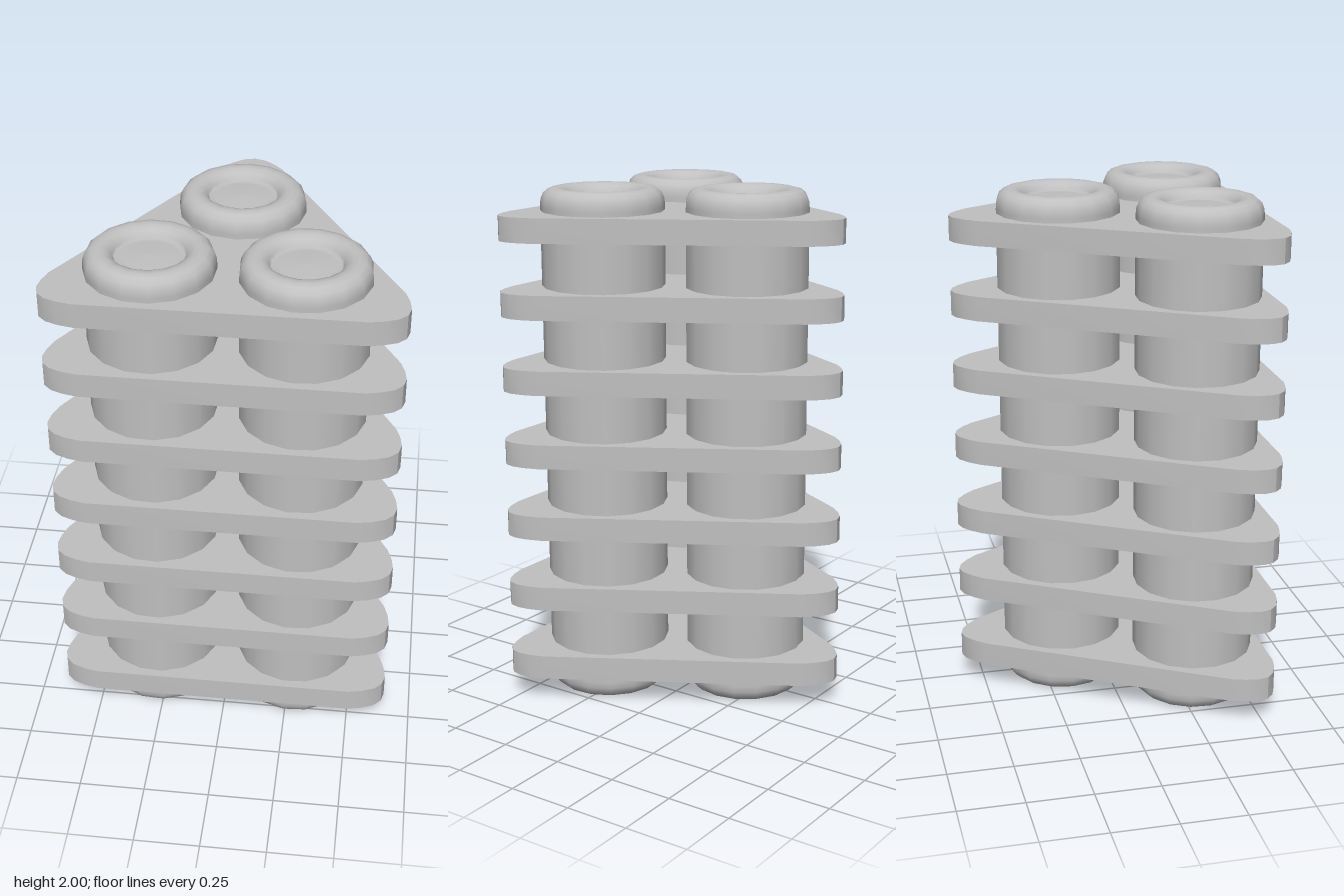
import * as THREE from 'three';
import { toCreasedNormals } from 'three/addons/utils/BufferGeometryUtils.js';

const CENTRE_Z = 0.151; // axis of the threefold symmetry

// Rounded triangle: one corner rotated three times
function plateGeometry() {
  const corner = [[-0.117, 0.651], [-0.08, 0.692], [-0.04, 0.723], [0, 0.734],
    [0.04, 0.723], [0.08, 0.692], [0.117, 0.651]];
  const points = [];
  for (let i = 0; i < 3; i++) {
    const a = -i * Math.PI * 2 / 3;
    for (const [x, y] of corner) {
      points.push(new THREE.Vector2(x, y).rotateAround(new THREE.Vector2(), a));
    }
  }
  const geometry = new THREE.ExtrudeGeometry(new THREE.Shape(points), { depth: 0.094, bevelEnabled: false });
  geometry.translate(0, 0, -0.047);
  geometry.rotateX(-Math.PI / 2);
  return toCreasedNormals(geometry, Math.PI / 6);
}

// Cylinder with a rounded raised rim and a shallow recess at both ends
function columnGeometry() {
  const end = [[0, 0.03], [0.1, 0.034], [0.125, 0.038], [0.131, 0.028], [0.143, 0.011], [0.163, 0.002],
    [0.186, 0], [0.208, 0.006], [0.226, 0.022], [0.235, 0.045], [0.237, 0.07]];
  const profile = [
    ...end.map(([r, y]) => new THREE.Vector2(r, y)),
    ...end.slice().reverse().map(([r, y]) => new THREE.Vector2(r, 2 - y)),
  ];
  return new THREE.LatheGeometry(profile, 16);
}

export function createModel() {
  const model = new THREE.Group();
  model.name = 'finnedColumnStack';
  const grey = new THREE.MeshStandardMaterial({ color: 0xc0c0c0 });
  grey.name = 'grey';

  // Three columns around the axis
  const column = columnGeometry();
  for (let i = 0; i < 3; i++) {
    const a = i * Math.PI * 2 / 3;
    const mesh = new THREE.Mesh(column, grey);
    mesh.name = 'column' + (i + 1);
    mesh.position.set(-Math.sin(a) * 0.318, 0, CENTRE_Z - Math.cos(a) * 0.318);
    mesh.rotation.y = a;
    model.add(mesh);
  }

  // Seven evenly spaced plates
  const plate = plateGeometry();
  for (let i = 0; i < 7; i++) {
    const mesh = new THREE.Mesh(plate, grey);
    mesh.name = 'plate' + (i + 1);
    mesh.position.set(0, 0.144 + i * 0.287, CENTRE_Z);
    model.add(mesh);
  }
  return model;
}
